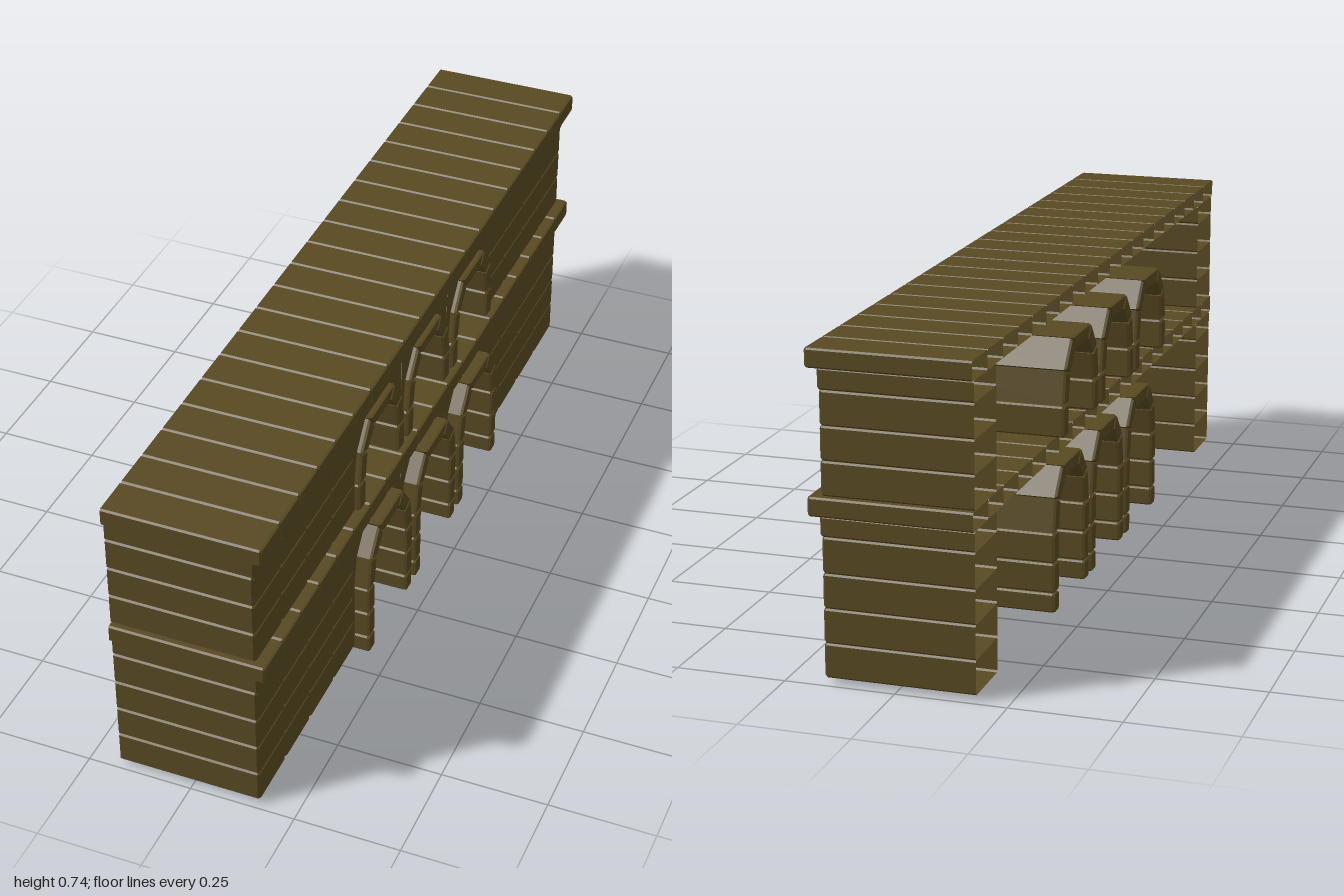
import * as THREE from 'three';

const BACK = -0.177; // open rear plane of the wall

// Prism running along x. Outline points are [u, y] with u = -z, counter-clockwise seen from +x.
// The +x rim is bevelled; the -x end is bevelled and capped only when closed.
function prism(outline, x0, x1, bevel, inset, closed) {
  const n = outline.length;
  const cu = outline.reduce((s, p) => s + p[0], 0) / n;
  const cy = outline.reduce((s, p) => s + p[1], 0) / n;
  const loop = (x, k) => outline.map(([u, y]) => [x, y + (cy - y) * k, -(u + (cu - u) * k)]);
  const loops = [];
  if (closed) loops.push(loop(x0, inset), loop(x0 + bevel, 0));
  else if (x1 - x0 > bevel) loops.push(loop(x0, 0));
  loops.push(loop(x1 - bevel, 0), loop(x1, inset));
  const pos = [];
  const tri = (a, b, c) => pos.push(...a, ...b, ...c);
  for (let l = 0; l < loops.length - 1; l++) {
    const A = loops[l], B = loops[l + 1];
    for (let i = 0; i < n; i++) {
      const j = (i + 1) % n;
      tri(A[i], A[j], B[j]);
      tri(A[i], B[j], B[i]);
    }
  }
  const front = loops[loops.length - 1], rear = loops[0];
  for (let i = 1; i < n - 1; i++) {
    tri(front[0], front[i], front[i + 1]);
    if (closed) tri(rear[0], rear[i + 1], rear[i]);
  }
  const g = new THREE.BufferGeometry();
  g.setAttribute('position', new THREE.Float32BufferAttribute(pos, 3));
  g.computeVertexNormals();
  return g;
}

// Rectangle with clipped corners
function stoneOutline(u0, u1, y0, y1, c = 0.004) {
  return [[u0 + c, y0], [u1 - c, y0], [u1, y0 + c], [u1, y1 - c],
    [u1 - c, y1], [u0 + c, y1], [u0, y1 - c], [u0, y0 + c]];
}

export function createModel() {
  // Stones are open at the rear, so their insides show
  const stone = new THREE.MeshStandardMaterial({ color: 0x584922, side: THREE.DoubleSide });
  stone.name = 'brown stone';
  const model = new THREE.Group();
  model.name = 'arcadeWall';

  const group = (name) => {
    const g = new THREE.Group();
    g.name = name;
    model.add(g);
    return g;
  };
  const add = (parent, name, geometry) => {
    const m = new THREE.Mesh(geometry, stone);
    m.name = name;
    parent.add(m);
    return m;
  };

  // Two cornices of full-depth slabs
  const cornice = (name, y0, y1) => {
    const g = group(name);
    for (let i = 0; i < 20; i++) {
      const u = -1 + i * 0.1;
      add(g, 'corniceSlab', prism(stoneOutline(u + 0.0003, u + 0.0997, y0, y1), BACK, 0.189, 0.005, 0.08, false));
    }
  };
  cornice('middleCornice', 0.3745, 0.4175);
  cornice('topCornice', 0.696, 0.739);

  // Coursed masonry beside the arches: deep end stones, thin facing stones
  const columns = [0.443, 0.565, 0.705, 0.845, 0.988];
  const courses = [[0.013, 0.0908], [0.0912, 0.1688], [0.1692, 0.2468], [0.2472, 0.3278],
    [0.418, 0.4948], [0.4952, 0.5708], [0.5712, 0.6478]];
  const masonry = group('masonry');
  for (const [y0, y1] of courses) {
    for (const side of [-1, 1]) {
      for (let i = 0; i < 4; i++) {
        const a = columns[i] * side, b = columns[i + 1] * side;
        const outline = stoneOutline(Math.min(a, b) + 0.0003, Math.max(a, b) - 0.0003, y0, y1);
        const deep = i === 3;
        add(masonry, deep ? 'endStone' : 'facingStone',
          prism(outline, deep ? BACK : 0.157, 0.163, 0.005, 0.07, false));
      }
    }
  }

  // Narrow courses directly below the cornices
  for (const [y0, y1] of [[0.3282, 0.374], [0.6482, 0.6955]]) {
    for (const side of [-1, 1]) {
      const a = side < 0 ? -0.988 : 0.8455;
      add(masonry, 'endStone', prism(stoneOutline(a, a + 0.1425, y0, y1), BACK, 0.167, 0.005, 0.08, false));
    }
    const w = 1.69 / 16;
    for (let i = 0; i < 16; i++) {
      const u = -0.845 + i * w;
      add(masonry, 'narrowFacingStone',
        prism(stoneOutline(u + 0.0003, u + w - 0.0003, y0, y1), 0.161, 0.167, 0.005, 0.08, false));
    }
  }

  // Arches: mirrored leg and curved stones with a flat keystone; s is the springing height
  const arch = (name, centre, base, s, legs, x0, x1) => {
    const g = group(name);
    const quad = (part, pts) => add(g, part, prism(pts.map(([u, y]) => [u + centre, y]), x0, x1, 0.006, 0.1, true));
    const pair = (part, pts) => {
      quad(part, pts);
      quad(part, pts.map(([u, y]) => [-u, y]).reverse());
    };
    for (const [y0, y1] of legs) pair('archLegStone', stoneOutline(0.102, 0.137, y0, y1));
    pair('archHaunchStone', [[0.102, s + 0.003], [0.137, s + 0.003], [0.123, s + 0.08], [0.09, s + 0.067]]);
    pair('archShoulderStone', [[0.089, s + 0.069], [0.122, s + 0.082], [0.073, s + 0.143], [0.05, s + 0.113]]);
    quad('keystone', [[-0.049, s + 0.114], [0.049, s + 0.114], [0.071, s + 0.144], [-0.071, s + 0.144]]);

    // Spandrel facing around the arch
    const top = s + 0.157;
    const shape = new THREE.Shape([
      [-0.148, base], [-0.118, base], [-0.118, s + 0.01], [-0.105, s + 0.075], [-0.06, s + 0.128],
      [0.06, s + 0.128], [0.105, s + 0.075], [0.118, s + 0.01], [0.118, base], [0.148, base],
      [0.148, top], [-0.148, top],
    ].map(([u, y]) => new THREE.Vector2(u + centre, y)));
    const panel = add(g, 'spandrel', new THREE.ShapeGeometry(shape));
    panel.rotation.y = Math.PI / 2;
    panel.position.x = 0.162;
  };
  for (const centre of [-0.298, 0, 0.298]) {
    arch('lowerArch', centre, 0.013, 0.19,
      [[0, 0.046], [0.048, 0.118], [0.12, 0.19]], -0.177, 0.199);
    arch('upperArch', centre, 0.419, 0.491, [[0.419, 0.491]], -0.199, 0.176);
  }

  return model;
}
